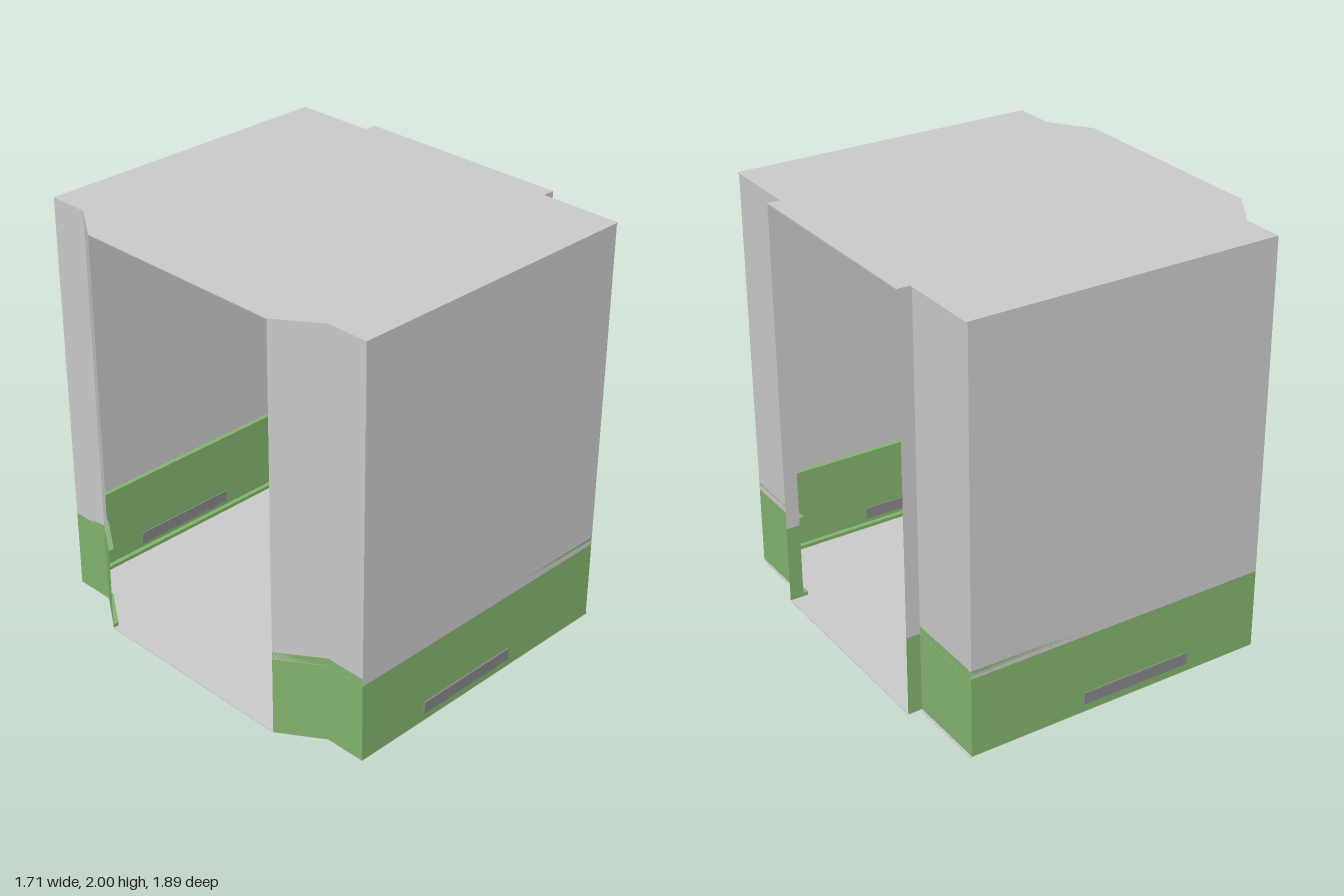
import * as THREE from 'three';

const panelGrey = new THREE.MeshStandardMaterial({ name: 'panelGrey', color: 0xcacaca, side: THREE.DoubleSide });
const wallGreen = new THREE.MeshStandardMaterial({ name: 'wallGreen', color: 0x83b36d, side: THREE.DoubleSide });
const ventGrey = new THREE.MeshStandardMaterial({ name: 'ventGrey', color: 0x888688 });

// Half plan of the wall (x, z), from the right jamb round to the splayed left jamb
const WALL = [[0.85, 0.535], [0.782, 0.535], [0.782, 0.935], [-0.72, 0.935], [-0.72, 0.735], [-0.855, 0.535]];
// Inner edge of the trim that follows the wall
const INSET = [[0.757, 0.535], [0.757, 0.912], [-0.697, 0.912], [-0.697, 0.728], [-0.827, 0.535]];

const mirrorZ = (points, s) => points.map(([x, z]) => [x, z * s]);

// Upright sheet along a plan path
function sheet(path, y0, y1) {
  const p = [];
  for (let i = 0; i < path.length - 1; i++) {
    const [ax, az] = path[i], [bx, bz] = path[i + 1];
    p.push(ax, y0, az, ax, y1, az, bx, y1, bz, ax, y0, az, bx, y1, bz, bx, y0, bz);
  }
  const g = new THREE.BufferGeometry();
  g.setAttribute('position', new THREE.Float32BufferAttribute(p, 3));
  g.computeVertexNormals();
  return g;
}

// Flat slab from a plan outline
function slab(points, y0, y1) {
  const shape = new THREE.Shape(points.map(([x, z]) => new THREE.Vector2(x, z)));
  const g = new THREE.ExtrudeGeometry(shape, { depth: y1 - y0, bevelEnabled: false });
  return g.rotateX(Math.PI / 2).translate(0, y1, 0);
}

export function createModel() {
  const model = new THREE.Group();
  model.name = 'corridorModule';
  const add = (name, geometry, material) => {
    const mesh = new THREE.Mesh(geometry, material);
    mesh.name = name;
    model.add(mesh);
  };

  // Floor and ceiling share the same outline
  const half = WALL.map(([x, z]) => [x === 0.782 ? 0.79 : x, z]);
  const outline = [...half, ...mirrorZ(half, -1).reverse()];
  add('floor', slab(outline, 0, 0.004), panelGrey);
  add('ceiling', slab(outline, 1.996, 2), panelGrey);

  for (const s of [1, -1]) {
    const side = s > 0 ? 'front' : 'back';
    const path = mirrorZ(WALL, s);

    // Wall in two colour bands
    add(side + 'LowerWall', sheet(path, 0.002, 0.392), wallGreen);
    add(side + 'UpperWall', sheet(path, 0.392, 1.998), panelGrey);

    // Inner trims: skirting, rail and cornice
    const ring = [...path.slice(1), ...mirrorZ(INSET, s).reverse()];
    add(side + 'Skirting', slab(ring, 0.004, 0.022), wallGreen);
    add(side + 'Rail', slab(ring, 0.393, 0.43), wallGreen);
    add(side + 'Cornice', slab(ring, 1.975, 1.996), panelGrey);

    // Vent set through the wall
    add(side + 'Vent', new THREE.BoxGeometry(0.553, 0.058, 0.016).translate(-0.065, 0.074, s * 0.936), ventGrey);
  }
  return model;
}
